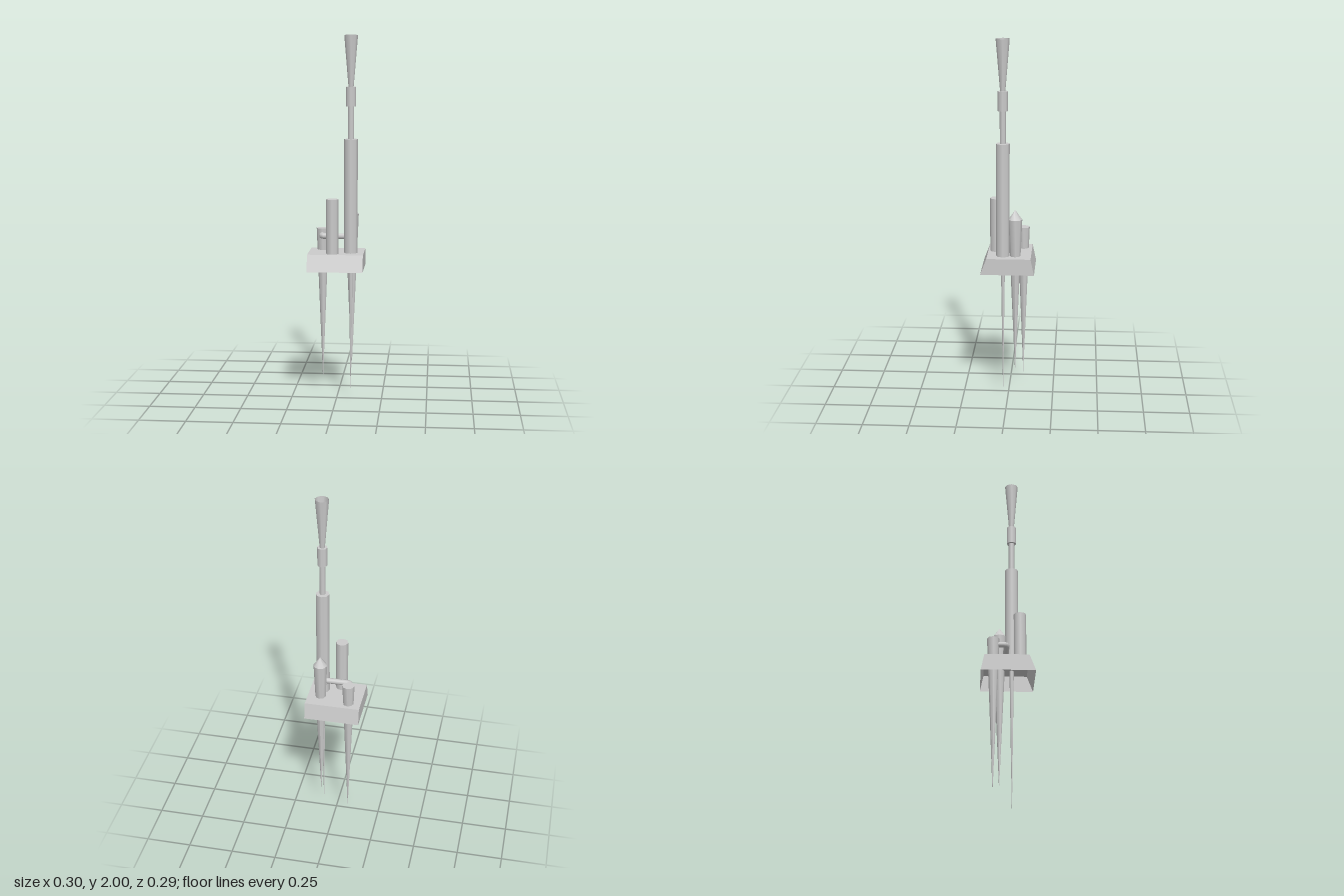
import * as THREE from 'three';
import { toCreasedNormals } from 'three/addons/utils/BufferGeometryUtils.js';

const grey = new THREE.MeshStandardMaterial({ color: 0xcccccc });
const greyOpen = new THREE.MeshStandardMaterial({ color: 0xcccccc, side: THREE.DoubleSide });
const SIDES = 8;

export function createModel() {
  const model = new THREE.Group();

  const add = (name, geometry, material = grey) => {
    const mesh = new THREE.Mesh(geometry, material);
    mesh.name = name;
    model.add(mesh);
    return mesh;
  };

  // Eight-sided round part standing between two heights
  const round = (name, x, z, y0, y1, r0, r1, open = false) => {
    const g = new THREE.CylinderGeometry(r1, r0, y1 - y0, SIDES, 1, open);
    add(name, g, open ? greyOpen : grey).position.set(x, (y0 + y1) / 2, z);
  };

  // Hollow platform: a box without its bottom, sloped at front and back
  const box = new THREE.BoxGeometry(0.302, 0.09, 0.292);
  const p = box.attributes.position;
  for (let i = 0; i < p.count; i++) {
    if (p.getY(i) > 0) p.setZ(i, p.getZ(i) > 0 ? 0.112 : -0.127);
  }
  // Leave out the bottom face (fourth side of the box)
  const index = Array.from(box.index.array);
  index.splice(18, 6);
  box.setIndex(index);
  add('platform', toCreasedNormals(box, 0.3), greyOpen).position.y = 0.78;

  // Tall mast with its rod, collar, open horn and hanging needle
  const mx = 0.08, mz = 0.026;
  round('mast', mx, mz, 0.825, 1.445, 0.037, 0.037);
  round('mastRod', mx, mz, 1.445, 1.62, 0.016, 0.016);
  round('mastCollar', mx, mz, 1.62, 1.725, 0.027, 0.027);
  round('mastHorn', mx, mz, 1.725, 2, 0.014, 0.037, true);
  round('mastNeedle', mx, mz, 0, 0.825, 0, 0.012);

  // Front post
  round('frontPost', -0.018, 0.068, 0.825, 1.123, 0.034, 0.034);

  // Long spikes passing down through the platform
  round('shortSpike', -0.083, -0.079, 0.08, 0.945, 0, 0.034);
  round('tallSpike', 0.081, -0.041, 0.15, 1.03, 0, 0.038, true);
  round('tallSpikeCap', 0.081, -0.041, 1.03, 1.083, 0.038, 0, true);

  // Elbowed pipe joining the short spike to the mast
  const corners = [[-0.083, -0.079], [-0.083, -0.017], [-0.073, -0.007], [0.08, -0.007]]
    .map(([x, z]) => new THREE.Vector3(x, 0.91, z));
  const path = new THREE.CurvePath();
  for (let i = 0; i < 3; i++) path.add(new THREE.LineCurve3(corners[i], corners[i + 1]));
  add('connectingPipe', new THREE.TubeGeometry(path, 36, 0.016, SIDES), greyOpen);

  return model;
}
